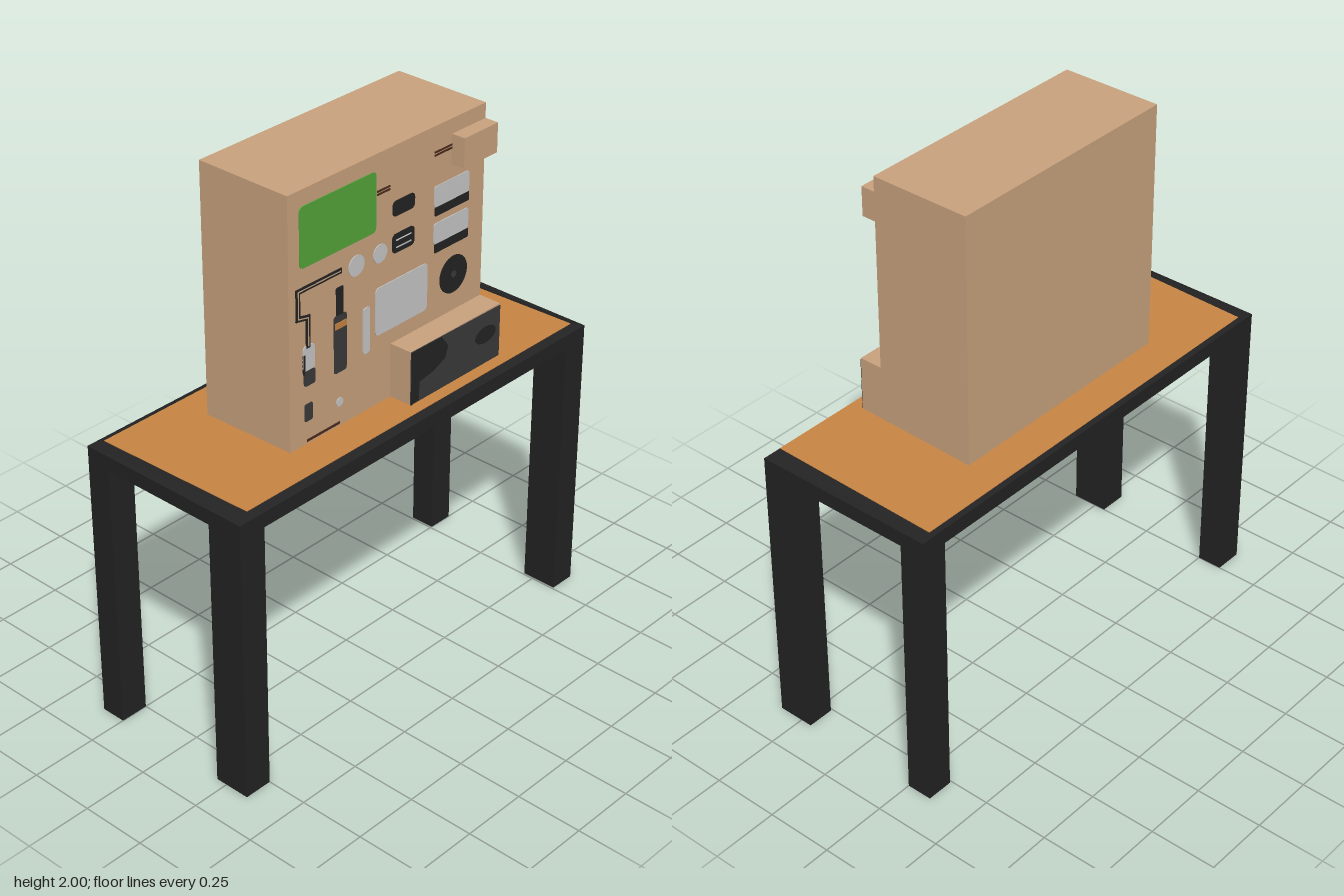
import * as THREE from 'three';

const mat = (name, color) => {
  const m = new THREE.MeshStandardMaterial({ color });
  m.name = name;
  return m;
};

export function createModel() {
  const model = new THREE.Group();
  model.name = 'workbenchWithToolPanel';
  const black = mat('black', 0x232323);
  const wood = mat('orange wood', 0xc98544);
  const tan = mat('cardboard tan', 0xcaa37f);
  const grey = mat('dark grey', 0x3a3a3a);
  const light = mat('light grey', 0xc8c8c8);
  const green = mat('green', 0x56a63a);
  const brown = mat('dark brown', 0x4a2a1c);

  const add = (name, geo, material, parent = model) => {
    const mesh = new THREE.Mesh(geo, material);
    mesh.name = name;
    parent.add(mesh);
    return mesh;
  };
  // Box given by its limits on each axis
  const box = (name, x0, x1, y0, y1, z0, z1, material) =>
    add(name, new THREE.BoxGeometry(x1 - x0, y1 - y0, z1 - z0), material)
      .position.set((x0 + x1) / 2, (y0 + y1) / 2, (z0 + z1) / 2);

  // Legs: the pair on the tool side is wider
  for (const [x0, x1] of [[-0.345, -0.25], [0.207, 0.345]]) {
    box('frontLeg', x0, x1, 0, 1.03, 0.75, 0.857, black);
    box('backLeg', x0, x1, 0, 1.03, -0.857, -0.757, black);
  }

  // Table slab: straight rim, then a bevel up to a slightly tilted top
  const topY = x => 1.081 + 0.026 * x;
  let slab = new THREE.BoxGeometry(0.69, 2, 1.714, 1, 2, 1);
  const sp = slab.attributes.position;
  for (let i = 0; i < sp.count; i++) {
    const y = sp.getY(i);
    if (y > 0.5) {
      const x = Math.sign(sp.getX(i)) * 0.325;
      sp.setXYZ(i, x, topY(x), Math.sign(sp.getZ(i)) * 0.807);
    } else sp.setY(i, y < -0.5 ? 1.015 : 1.07);
  }
  slab = slab.toNonIndexed();
  slab.computeVertexNormals();
  add('tableSlab', slab, black);

  // Wooden surface laid on the tilted top
  const surface = new THREE.BoxGeometry(0.648, 0.004, 1.608);
  const wp = surface.attributes.position;
  for (let i = 0; i < wp.count; i++) wp.setY(i, wp.getY(i) + topY(wp.getX(i)));
  surface.computeVertexNormals();
  add('woodSurface', surface, wood);

  // Cabinet with two boxes on its tool side
  box('cabinet', -0.19, 0.187, 1.075, 2, -0.467, 0.467, tan);
  box('upperBox', 0.18, 0.24, 1.838, 1.945, -0.467, -0.3, tan);
  box('lowerBox', 0.18, 0.275, 1.08, 1.29, -0.467, -0.012, tan);

  // Thin painted plates on the +x side; u runs towards the back (-z)
  const panel = new THREE.Group();
  panel.name = 'toolPanel';
  model.add(panel);
  const plate = (name, shape, material, layer = 0, x = 0.187) => {
    const geo = new THREE.ExtrudeGeometry(shape, { depth: 0.003 + layer * 0.002, bevelEnabled: false, curveSegments: 16 });
    geo.rotateY(Math.PI / 2);
    add(name, geo, material, panel).position.x = x;
  };
  const rect = (name, u0, u1, y0, y1, material, r = 0, layer = 0) => {
    const s = new THREE.Shape();
    if (r > 0) {
      s.moveTo(u0 + r, y0).lineTo(u1 - r, y0);
      s.quadraticCurveTo(u1, y0, u1, y0 + r).lineTo(u1, y1 - r);
      s.quadraticCurveTo(u1, y1, u1 - r, y1).lineTo(u0 + r, y1);
      s.quadraticCurveTo(u0, y1, u0, y1 - r).lineTo(u0, y0 + r);
      s.quadraticCurveTo(u0, y0, u0 + r, y0);
    } else s.moveTo(u0, y0).lineTo(u1, y0).lineTo(u1, y1).lineTo(u0, y1);
    plate(name, s, material, layer);
  };
  const disc = (name, u, y, r, material, layer = 0) =>
    plate(name, new THREE.Shape().absarc(u, y, r, 0, Math.PI * 2), material, layer);

  rect('greenMat', -0.417, -0.066, 1.73, 1.943, green, 0.02);
  rect('largeTray', -0.066, 0.188, 1.348, 1.523, light, 0.02);
  rect('lightBar', -0.125, -0.093, 1.305, 1.475, light, 0.012);
  for (const y of [1.857, 1.868]) rect('matHook', -0.061, 0, y - 0.003, y + 0.003, brown);
  for (const y of [1.897, 1.908]) rect('boxHook', 0.215, 0.3, y - 0.003, y + 0.003, brown);

  // Small black pads, the lower one striped
  rect('pad', 0.013, 0.12, 1.75, 1.805, black, 0.02);
  rect('stripedPad', 0.013, 0.12, 1.618, 1.687, black, 0.02);
  for (const y of [1.638, 1.664]) rect('padStripe', 0.03, 0.103, y - 0.002, y + 0.002, light, 0, 1);

  // Discs
  disc('largeDisc', -0.157, 1.645, 0.037, light);
  disc('smallDisc', -0.045, 1.645, 0.033, light);
  disc('wheel', 0.321, 1.428, 0.069, black);
  disc('wheelHub', 0.321, 1.428, 0.012, grey, 1);
  disc('button', -0.236, 1.178, 0.016, light);

  // Two light boxes with black bases
  for (const y of [1.677, 1.542]) {
    rect('lightCase', 0.216, 0.39, y + 0.033, y + 0.109, light, 0.012);
    rect('caseBase', 0.221, 0.39, y, y + 0.033, black, 0.005);
  }

  // Hand tool
  rect('toolHandle', -0.262, -0.204, 1.29, 1.5, grey, 0.01);
  rect('toolTip', -0.252, -0.219, 1.5, 1.6, black, 0.005);
  rect('toolBand', -0.26, -0.206, 1.452, 1.475, wood, 0, 1);

  // Sprayer with its bent hose
  rect('sprayerBody', -0.406, -0.353, 1.355, 1.45, light, 0.015);
  rect('sprayerBase', -0.402, -0.353, 1.305, 1.36, grey, 0.01, 1);
  rect('sprayerTrigger', -0.406, -0.398, 1.35, 1.42, black, 0, 1);
  const hose = [[-0.236, 1.656], [-0.427, 1.656], [-0.427, 1.56], [-0.382, 1.55], [-0.382, 1.45]];
  for (let i = 0; i < hose.length - 1; i++) {
    const a = new THREE.Vector2(...hose[i]), d = new THREE.Vector2(...hose[i + 1]).sub(a);
    for (const [w, material, layer] of [[0.009, black, 0], [0.002, tan, 1]]) {
      const g = new THREE.BoxGeometry(d.length() + 2 * w, 2 * w, 0.004 + layer * 0.002);
      g.rotateZ(d.angle());
      g.translate(a.x + d.x / 2, a.y + d.y / 2, 0.002);
      g.rotateY(Math.PI / 2);
      add(layer ? 'hoseCore' : 'hose', g, material, panel).position.x = 0.187;
    }
  }
  rect('clip', -0.4, -0.364, 1.173, 1.237, grey, 0.008);
  rect('lowRail', -0.39, -0.236, 1.096, 1.104, brown);

  // Dark face of the lower box with black patches
  const poly = pts => new THREE.Shape(pts.map(p => new THREE.Vector2(...p)));
  plate('lowerBoxFace', poly([[0.012, 1.088], [0.466, 1.088], [0.466, 1.284], [0.012, 1.29]]), grey, 0, 0.275);
  plate('cornerPatch', poly([[0.013, 1.09], [0.05, 1.097], [0.052, 1.165], [0.12, 1.175], [0.18, 1.2],
    [0.195, 1.24], [0.18, 1.265], [0.16, 1.288], [0.013, 1.289]]), black, 1, 0.275);
  plate('ovalPatch', new THREE.Shape().absellipse(0.39, 1.202, 0.053, 0.031, 0, Math.PI * 2), black, 1, 0.275);

  return model;
}
